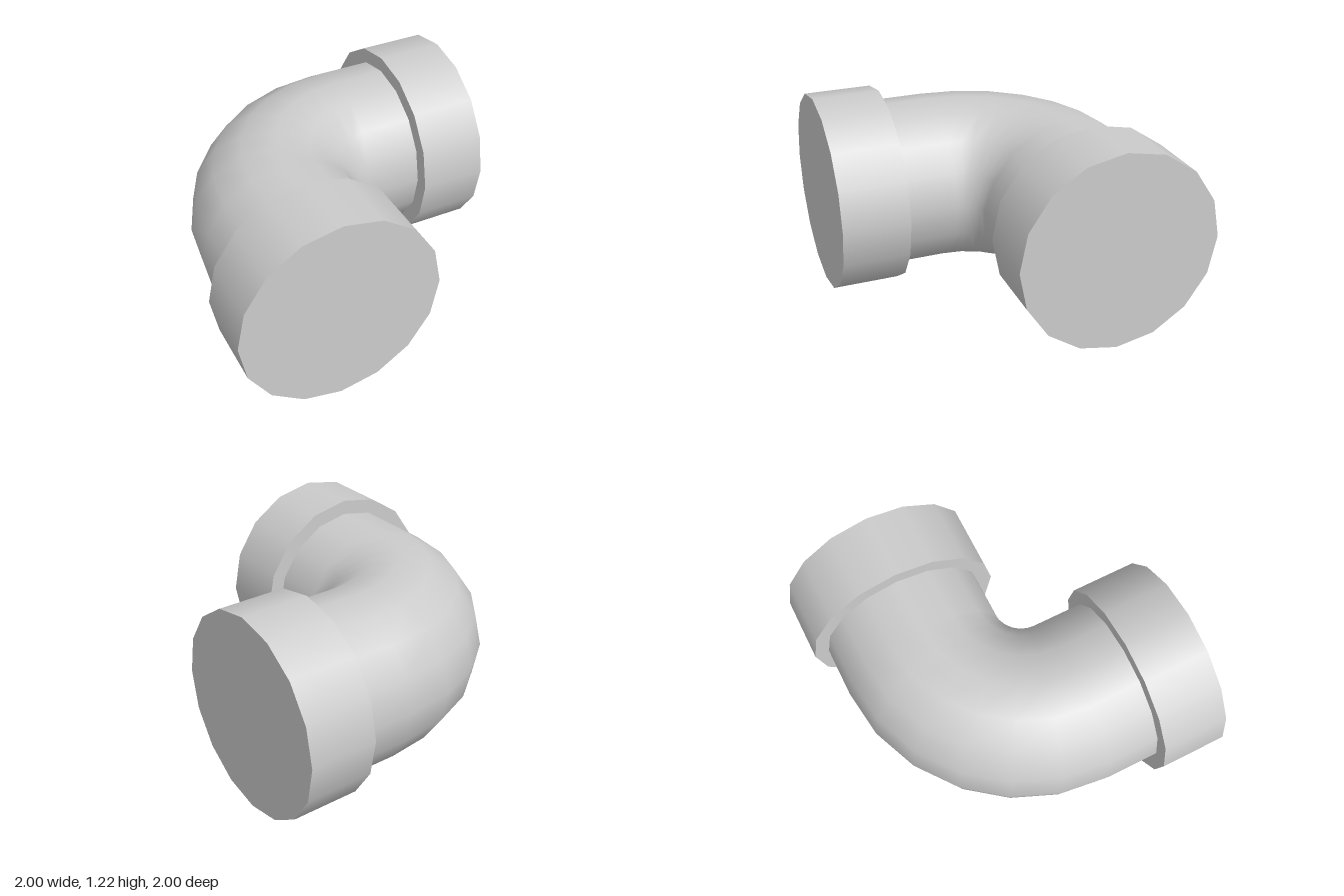
import * as THREE from 'three';

const SIDES = 16;
const AXIS = -0.388;      // offset of each leg's centre line
const HEIGHT = 0.612;     // centre line height
const PIPE_R = 0.52;
const COLLAR_R = 0.612;
const BEND = 0.27;        // centre of the bend in x and z
const COLLAR_START = 0.59;

export function createModel() {
  const model = new THREE.Group();
  model.name = 'pipeElbow';
  const material = new THREE.MeshStandardMaterial({ color: 0xcccccc });

  const add = (name, geometry, x, y, z) => {
    const mesh = new THREE.Mesh(geometry, material);
    mesh.name = name;
    mesh.position.set(x, y, z);
    model.add(mesh);
  };

  // Cylinder spanning from..to along one leg (toward +z or +x)
  const legCylinder = (name, alongX, radius, from, to, open) => {
    const geometry = new THREE.CylinderGeometry(radius, radius, to - from, SIDES, 1, open);
    if (alongX) geometry.rotateZ(-Math.PI / 2);
    else geometry.rotateX(Math.PI / 2);
    const mid = (from + to) / 2;
    add(name, geometry, alongX ? mid : AXIS, HEIGHT, alongX ? AXIS : mid);
  };

  // Quarter-turn bend
  const bend = new THREE.TorusGeometry(BEND - AXIS, PIPE_R, SIDES, 6, Math.PI / 2);
  bend.rotateX(Math.PI / 2).rotateY(Math.PI);
  add('bend', bend, BEND, HEIGHT, BEND);

  // Straight legs and their closed end collars
  for (const [side, alongX] of [['front', false], ['left', true]]) {
    legCylinder(side + 'Pipe', alongX, PIPE_R, BEND, COLLAR_START, true);
    legCylinder(side + 'Collar', alongX, COLLAR_R, COLLAR_START, 1, false);
  }

  return model;
}
